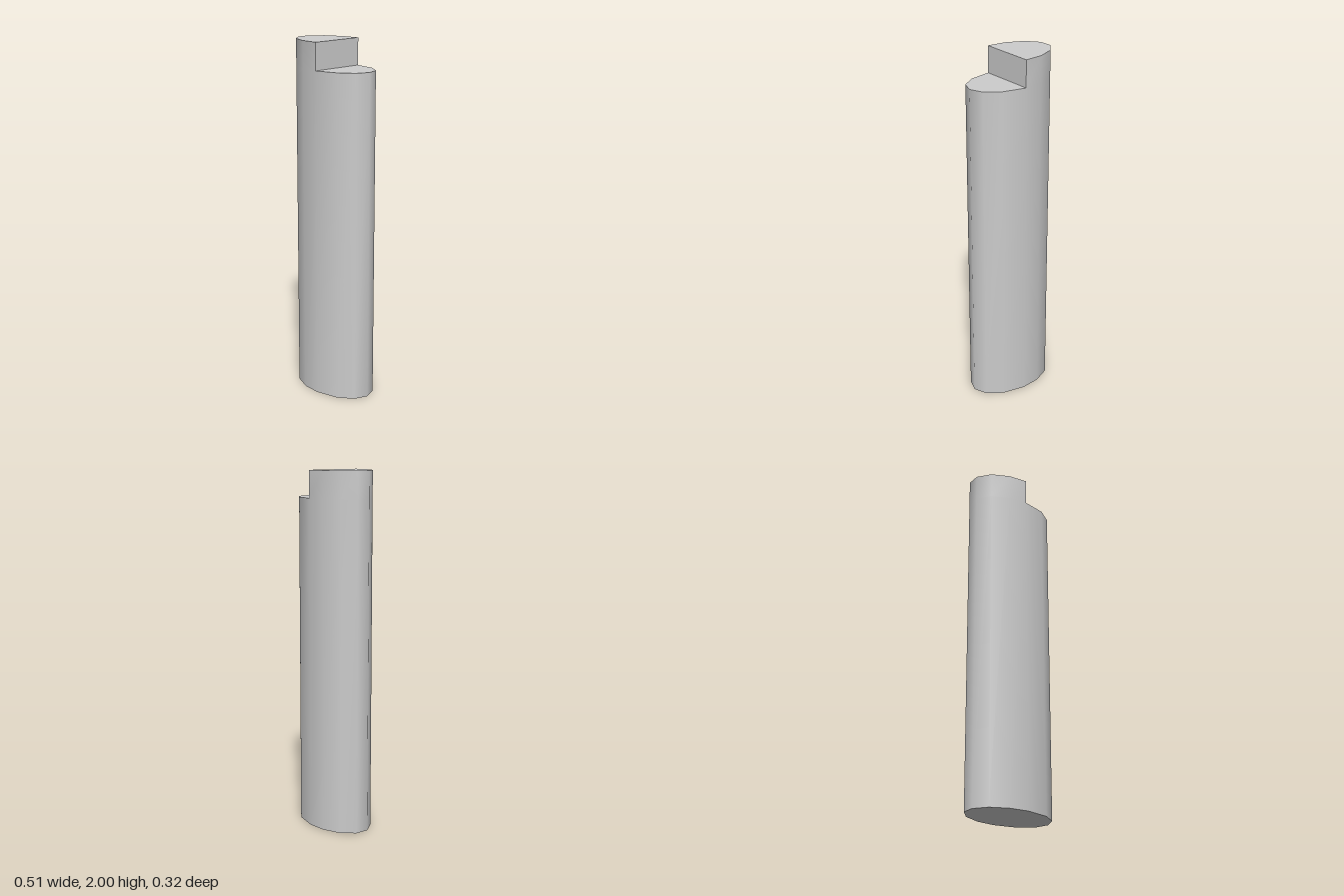
import * as THREE from 'three';
import { toCreasedNormals } from 'three/addons/utils/BufferGeometryUtils.js';

const STEP = 1.85, TOP = 2;

// Front half of the outline as [x, z], from the pointed end to the blunt end.
const low = [[0.252, 0], [0.223, 0.076], [0.142, 0.134], [0.01, 0.162]];
const high = [[0.01, 0.162], [-0.097, 0.152], [-0.197, 0.108], [-0.254, 0.038]];
const mirror = (points) => points.map(([x, z]) => [x, -z]).reverse();

export function createModel() {
  const positions = [];
  const vertex = ([x, z], y) => positions.push(x, y, z);
  const quad = (l, r, y0, y1) => {
    vertex(l, y0); vertex(r, y0); vertex(r, y1);
    vertex(l, y0); vertex(r, y1); vertex(l, y1);
  };
  const cap = (points, y, up) => {
    for (let i = 1; i < points.length - 1; i++) {
      vertex(points[0], y);
      vertex(points[up ? i + 1 : i], y);
      vertex(points[up ? i : i + 1], y);
    }
  };
  const walls = (points, y0, y1) => {
    for (let i = 0; i < points.length - 1; i++) quad(points[i + 1], points[i], y0, y1);
  };

  const highHalf = [...high, ...mirror(high)];
  const lowHalf = [...mirror(low).slice(0, -1), ...low];

  // Side walls: both halves up to the step, then the raised half
  walls(highHalf, 0, STEP);
  walls(lowHalf, 0, STEP);
  walls(highHalf, STEP, TOP);

  // Step face, the two top faces and the base
  quad(highHalf[0], highHalf[highHalf.length - 1], STEP, TOP);
  cap(highHalf, TOP, true);
  cap(lowHalf, STEP, true);
  cap([...highHalf, ...lowHalf.slice(1, -1)], 0, false);

  const geometry = new THREE.BufferGeometry();
  geometry.setAttribute('position', new THREE.Float32BufferAttribute(positions, 3));

  // Smooth around the shaft, sharp at the caps and step
  const shaft = new THREE.Mesh(
    toCreasedNormals(geometry, Math.PI / 3),
    new THREE.MeshStandardMaterial({ color: 0xcccccc })
  );
  shaft.name = 'steppedShaft';

  const group = new THREE.Group();
  group.name = 'steppedPeg';
  group.add(shaft);
  return group;
}
